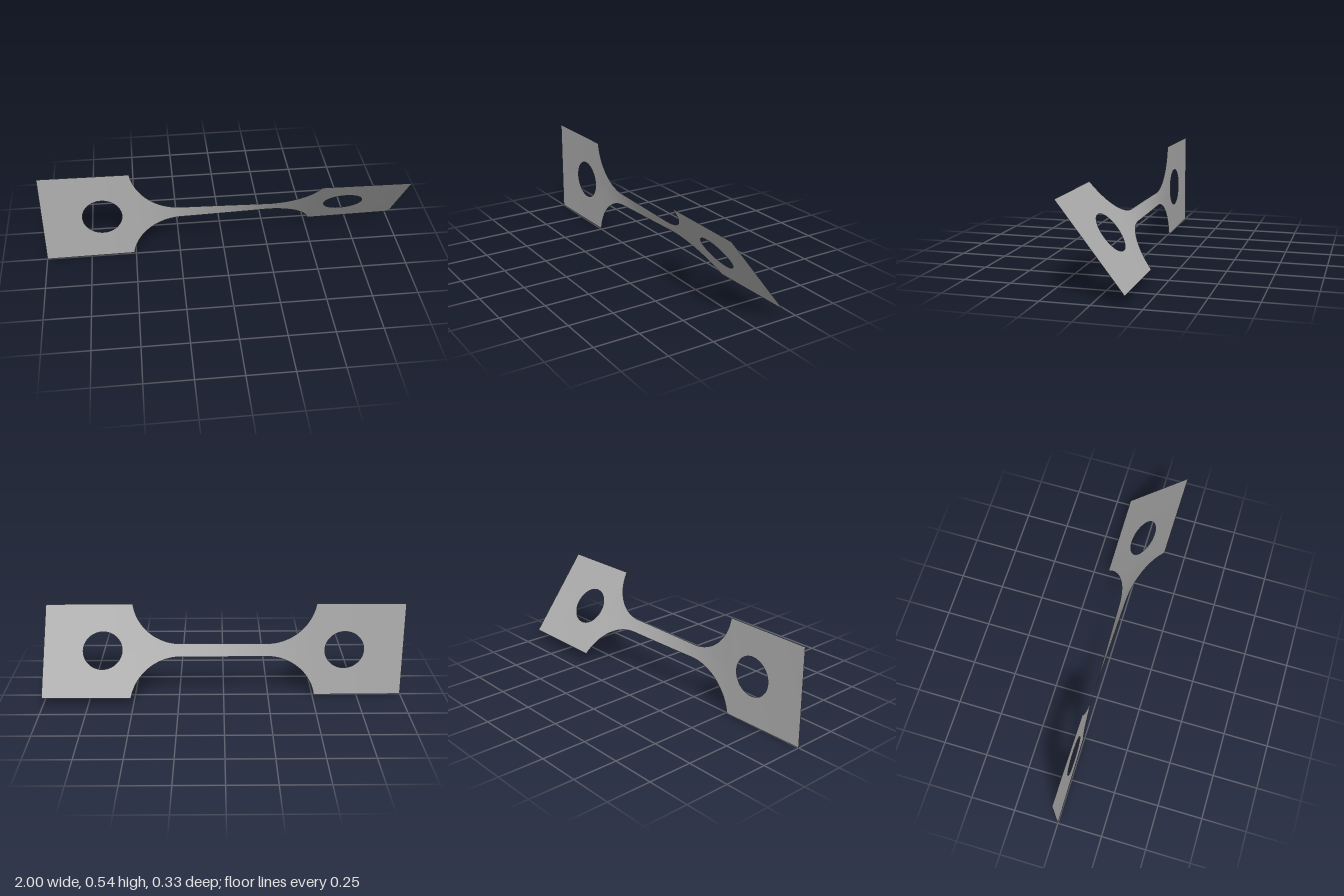
import * as THREE from 'three';

const MID = 0.271, HALF = 0.271, NECK = 0.037;   // centre height, tab and neck half widths
const R = 0.275, SHOULDER = 0.51;                // fillet radius, where the tabs begin
const HOLE_X = 0.672, HOLE_R = 0.108;
const ARC_X = SHOULDER - Math.sqrt(R * R - (NECK + R - HALF) ** 2);

// Half width of the strip at distance |x| from the middle
function halfWidth(x) {
  const a = Math.abs(x);
  if (a >= SHOULDER - 1e-6) return HALF;
  if (a <= ARC_X) return NECK;
  return NECK + R - Math.sqrt(R * R - (a - ARC_X) ** 2);
}

// Half height of the hole at x
function holeHalf(x) {
  const d = Math.abs(x) - HOLE_X;
  return Math.sqrt(Math.max(0, HOLE_R * HOLE_R - d * d));
}

// Twist in degrees measured from the middle, mostly in the slender neck
const TWIST = [[0, 0], [0.25, 10.7], [0.32, 13.5], [0.4, 16], [0.51, 17.6], [1, 18.8]];
function twist(x) {
  const a = Math.abs(x);
  let i = 1;
  while (i < TWIST.length - 1 && a > TWIST[i][0]) i++;
  const [x0, t0] = TWIST[i - 1], [x1, t1] = TWIST[i];
  const t = t0 + (t1 - t0) * (a - x0) / (x1 - x0);
  return THREE.MathUtils.degToRad(18.8 + Math.sign(x) * t);
}

// Stations along one half: neck, fillet by angle, tab with hole by angle
function stations() {
  const xs = [];
  for (let i = 0; i < 12; i++) xs.push(ARC_X * i / 12);
  const end = Math.asin((SHOULDER - ARC_X) / R);
  for (let i = 0; i <= 24; i++) xs.push(ARC_X + R * Math.sin(end * i / 24));
  xs.push(0.54);
  for (let i = 0; i <= 32; i++) xs.push(HOLE_X - HOLE_R * Math.cos(Math.PI * i / 32));
  for (let i = 1; i <= 4; i++) xs.push(HOLE_X + HOLE_R + (1 - HOLE_X - HOLE_R) * i / 4);
  return xs;
}

export function createModel() {
  const group = new THREE.Group();
  group.name = 'twistedTensileStrip';
  const metal = new THREE.MeshStandardMaterial({ color: 0xb0b0b0, side: THREE.DoubleSide });
  metal.name = 'grey metal';

  const half = stations();
  const xs = [...half.slice(1).reverse().map((x) => -x), ...half];

  // Each station has lower edge, hole bottom, hole top and upper edge
  const positions = [], index = [];
  xs.forEach((x, i) => {
    const w = halfWidth(x), h = holeHalf(x), t = twist(x);
    for (const s of [-w, -h, h, w]) {
      positions.push(x, MID + s * Math.cos(t), s * Math.sin(t));
    }
    if (i === 0) return;
    for (const k of [0, 2]) {
      const a = (i - 1) * 4 + k, b = i * 4 + k;
      index.push(a, b, b + 1, a, b + 1, a + 1);
    }
  });

  const geometry = new THREE.BufferGeometry();
  geometry.setAttribute('position', new THREE.Float32BufferAttribute(positions, 3));
  geometry.setIndex(index);
  geometry.computeVertexNormals();

  const strip = new THREE.Mesh(geometry, metal);
  strip.name = 'twistedStrip';
  group.add(strip);
  return group;
}
